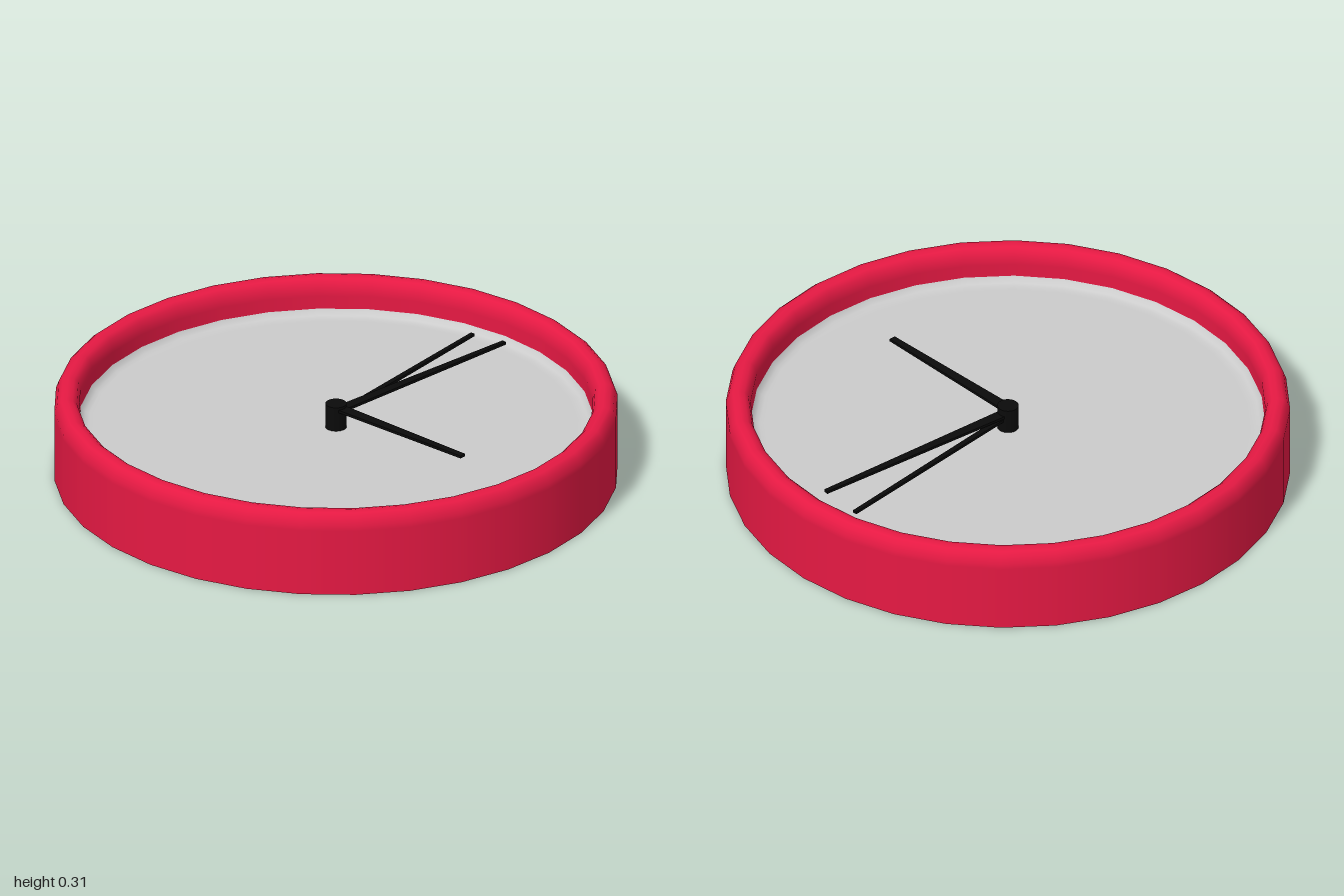
import * as THREE from 'three';

const SIDES = 32;
const red = new THREE.MeshStandardMaterial({ color: 0xe61943, side: THREE.DoubleSide });
const grey = new THREE.MeshStandardMaterial({ color: 0xcccccc, side: THREE.DoubleSide });
const black = new THREE.MeshStandardMaterial({ color: 0x0a0a0a });

// Surface of revolution from [radius, height] pairs
function lathe(name, profile, material) {
  const points = profile.map(([r, y]) => new THREE.Vector2(r, y));
  const mesh = new THREE.Mesh(new THREE.LatheGeometry(points, SIDES), material);
  mesh.name = name;
  return mesh;
}

// Thin tapered hand reaching from the hub to (x, z) at height y
function hand(name, x, z, y, baseWidth, tipWidth) {
  const length = Math.hypot(x, z);
  const b = baseWidth / 2, t = tipWidth / 2;
  const shape = new THREE.Shape([
    new THREE.Vector2(0, -b), new THREE.Vector2(length, -t),
    new THREE.Vector2(length, t), new THREE.Vector2(0, b),
  ]);
  const geometry = new THREE.ExtrudeGeometry(shape, { depth: 0.01, bevelEnabled: false });
  geometry.rotateX(-Math.PI / 2);
  geometry.rotateY(Math.atan2(-z, x));
  geometry.translate(0, y - 0.005, 0);
  const mesh = new THREE.Mesh(geometry, black);
  mesh.name = name;
  return mesh;
}

export function createModel() {
  const clock = new THREE.Group();
  clock.name = 'wallClock';

  // Open-backed casing: outer wall, rounded lip, short inner wall
  clock.add(lathe('casing', [
    [1, 0], [1, 0.25], [1, 0.27], [0.99, 0.297], [0.975, 0.31], [0.955, 0.315],
    [0.935, 0.31], [0.92, 0.297], [0.912, 0.27], [0.912, 0.25], [0.912, 0.195],
  ], red));

  // Dial with a slightly upturned edge
  clock.add(lathe('dial', [
    [0.914, 0.205], [0.907, 0.192], [0.895, 0.182], [0.88, 0.178], [0.86, 0.178], [0, 0.178],
  ], grey));

  // Centre hub, poking through the dial
  const hub = new THREE.Mesh(new THREE.CylinderGeometry(0.038, 0.038, 0.105, SIDES), black);
  hub.name = 'hub';
  hub.position.y = 0.2175;
  clock.add(hub);

  // Hands, stacked at different heights
  clock.add(hand('secondHand', -0.063, -0.81, 0.225, 0.022, 0.016));
  clock.add(hand('minuteHand', 0.085, -0.81, 0.24, 0.042, 0.018));
  clock.add(hand('hourHand', 0.6, 0.005, 0.255, 0.044, 0.024));

  return clock;
}
